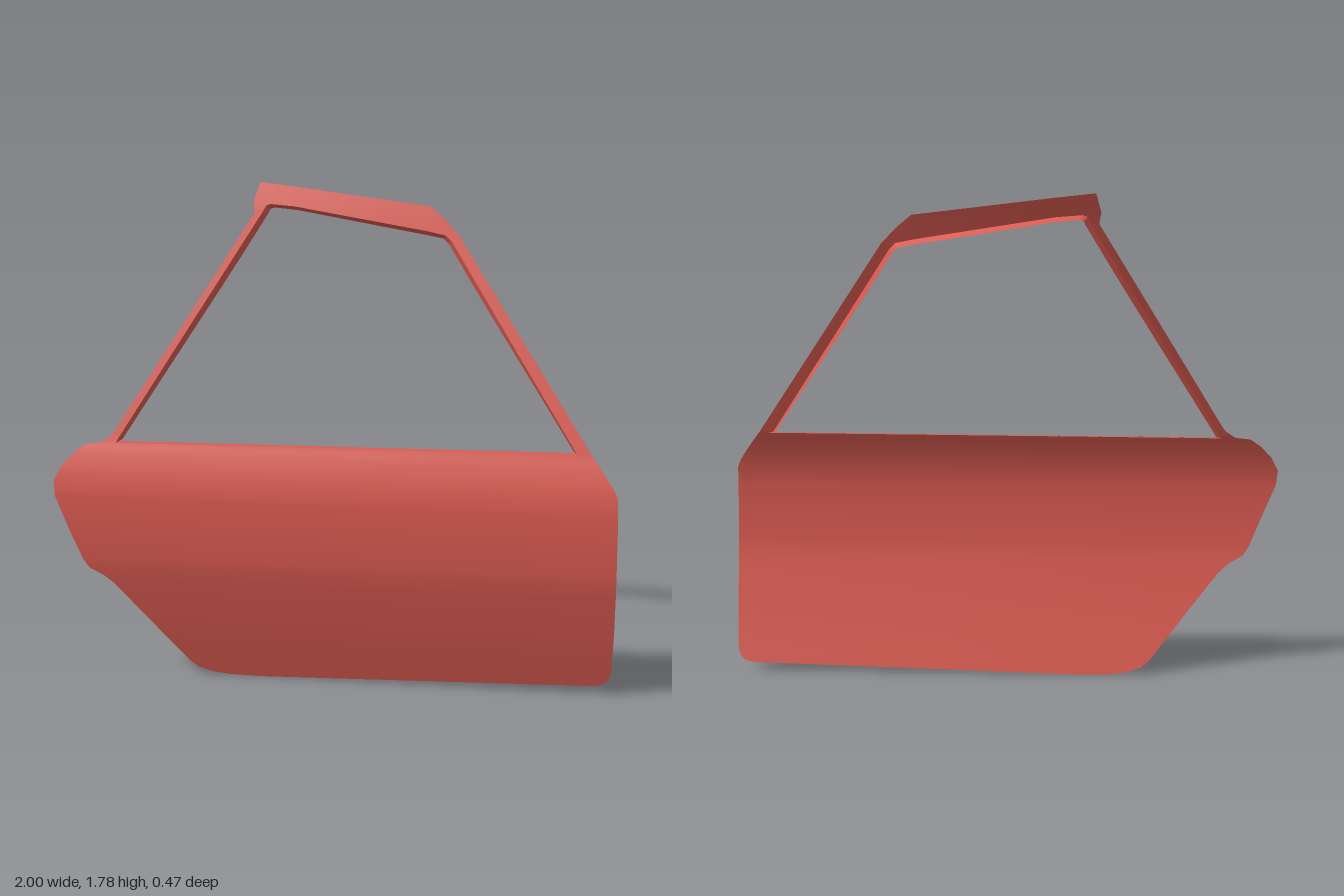
import * as THREE from 'three';

// Side section of the door: (height, depth) at x = 0
const section = new THREE.SplineCurve([
  [-0.1, 0.033], [0, 0.062], [0.2, 0.122], [0.4, 0.172], [0.5, 0.187], [0.6, 0.191], [0.7, 0.188],
  [0.78, 0.172], [0.85, 0.146], [0.9, 0.122], [1.0, 0.083], [1.3, -0.036], [1.6, -0.162],
  [1.7, -0.203], [1.79, -0.25],
].map(([y, z]) => new THREE.Vector2(y, z))).getPoints(280);

// Depth of the skin, which also tapers slightly along the door
function depthAt(x, y) {
  let i = 1;
  while (i < section.length - 1 && section[i].x < y) i++;
  const a = section[i - 1], b = section[i];
  return a.y + (b.y - a.y) * (y - a.x) / (b.x - a.x) - 0.044 * x;
}

// Insert n - 1 evenly spaced points in every span of a chain
function subdivide(chain, n) {
  const out = [chain[0]];
  for (let i = 1; i < chain.length; i++) {
    for (let k = 1; k <= n; k++) {
      out.push(chain[i].map((v, c) => THREE.MathUtils.lerp(chain[i - 1][c], v, k / n)));
    }
  }
  return out;
}

// Skin a grid of [x, y, inset] points onto the curved door surface
function sheet(name, rows, material) {
  const pos = [], index = [], w = rows[0].length;
  rows.forEach((row, i) => row.forEach(([x, y, inset = 0], j) => {
    pos.push(x, y, depthAt(x, y) - inset);
    if (i && j) {
      const c = i * w + j - 1, a = c - w;
      index.push(a, a + 1, c, a + 1, c + 1, c);
    }
  }));
  const geometry = new THREE.BufferGeometry();
  geometry.setAttribute('position', new THREE.Float32BufferAttribute(pos, 3));
  geometry.setIndex(index);
  geometry.computeVertexNormals();
  const mesh = new THREE.Mesh(geometry, material);
  mesh.name = name;
  return mesh;
}

export function createModel() {
  const group = new THREE.Group();
  group.name = 'carDoor';
  const paint = new THREE.MeshStandardMaterial({ color: 0xd95a50, side: THREE.DoubleSide });

  // Lower panel: matching left and right edge points from bottom to sill
  const edges = subdivide([
    [-0.28, 0.002, 0.92, 0.033], [-0.40, 0.005, 0.95, 0.037], [-0.46, 0.013, 0.97, 0.045],
    [-0.51, 0.03, 0.985, 0.065], [-0.54, 0.055, 0.993, 0.1], [-0.67, 0.22, 0.998, 0.25],
    [-0.79, 0.37, 1, 0.4], [-0.83, 0.405, 1, 0.43], [-0.88, 0.433, 1, 0.455],
    [-0.90, 0.465, 1, 0.48], [-0.995, 0.7, 0.998, 0.69], [-1, 0.755, 0.995, 0.755],
    [-0.975, 0.805, 0.982, 0.785], [-0.935, 0.85, 0.955, 0.825], [-0.895, 0.88, 0.925, 0.865],
    [-0.84, 0.887, 0.9, 0.897],
  ], 3);
  const panelRows = edges.map(([x0, y0, x1, y1]) => subdivide([[x0, y0], [x1, y1]], 24));
  group.add(sheet('doorPanel', panelRows, paint));

  // Window frame: outer and inner edge pairs, up one pillar, over the header, down the other
  const frame = subdivide([
    [-0.84, 0.887, -0.785, 0.887], [-0.805, 0.91, -0.772, 0.91], [-0.79, 0.93, -0.76, 0.93],
    [-0.345, 1.68, -0.312, 1.69], [-0.352, 1.72, -0.305, 1.705], [-0.335, 1.785, -0.29, 1.71],
    [-0.2, 1.77, -0.2, 1.703], [0.29, 1.71, 0.28, 1.626], [0.34, 1.67, 0.35, 1.612],
    [0.4, 1.61, 0.372, 1.592], [0.9, 0.897, 0.85, 0.897],
  ], 5);
  const outer = frame.map(p => [p[0], p[1]]);
  const inner = frame.map(p => [p[2], p[3]]);
  const middle = inner.map((p, i) => p.map((v, c) => (v + outer[i][c]) / 2));
  group.add(sheet('windowFrame', [inner, middle, outer], paint));

  // Return lip turned inward around the window opening
  const lip = inner.map(([x, y]) => {
    const dx = 0.05 - x, dy = 1.25 - y, k = 0.018 / Math.hypot(dx, dy);
    return [x + dx * k, y + Math.max(dy * k, -0.016), 0.03];
  });
  group.add(sheet('windowLip', [lip, inner], paint));

  // Narrow ledge along the window sill
  const sill = subdivide([[-0.785, 0.887], [0.85, 0.897]], 24);
  const ledge = sill.map(([x, y]) => [x, y + 0.002, 0.022]);
  group.add(sheet('windowSill', [sill, ledge], paint));

  return group;
}
